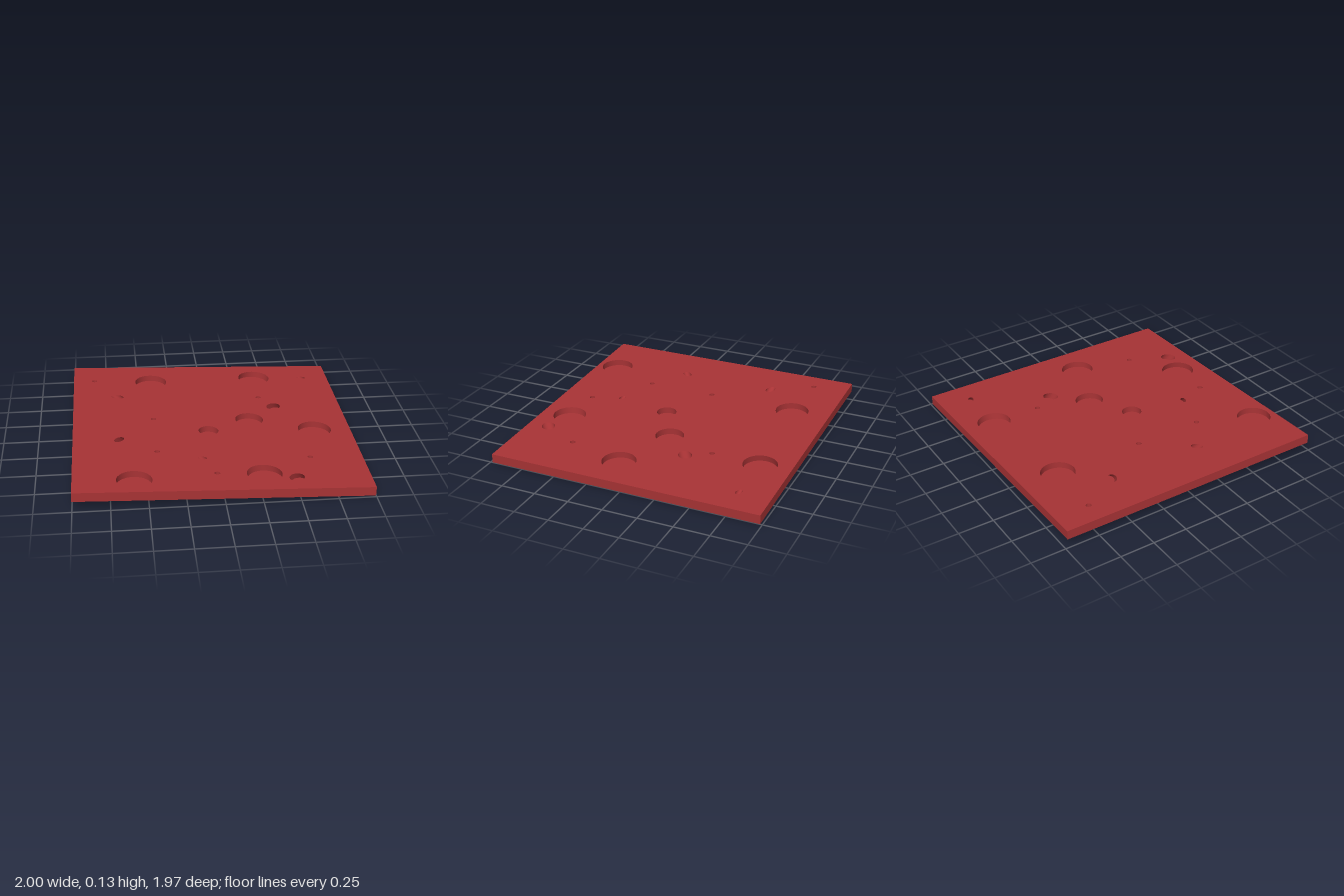
import * as THREE from 'three';

const WIDTH = 2, LENGTH = 1.97, THICK = 0.064, DEPTH = 0.045, TILT = 0.0345;

// Holes: x, z, radius along, radius across, turn, floor shift x, floor shift z
const round = (r, list) => list.map(([x, z, sx = 0, sz = 0]) => [x, z, r, r, 0, sx, sz]);
const HOLES = [
  ...round(0.12, [[-0.405, -0.705], [0.413, -0.763, -0.008], [0.738, 0.137], [0.283, 0.775, 0.008], [-0.59, 0.828]]),
  ...round(0.102, [[0.283, -0.033]]),
  ...round(0.071, [[-0.033, 0.137]]),
  ...round(0.019, [[-0.84, -0.73], [0.402, -0.407], [-0.418, -0.06], [-0.418, 0.44], [-0.033, 0.757], [0.633, 0.555]]),
  // slanted holes
  [0.493, -0.245, 0.056, 0.047, 0.7, 0.02, -0.02],
  [0.493, 0.833, 0.056, 0.047, 0.7, 0.02, -0.02],
  [-0.67, -0.44, 0.046, 0.03, -0.3, 0.05, 0.012],
  [-0.675, 0.255, 0.042, 0.028, 0.85, 0.025, -0.028],
  [0.793, -0.76, 0.032, 0.019, -0.3, 0.045, 0.014],
  [-0.115, 0.543, 0.032, 0.019, -0.3, 0.045, 0.014],
];

export function createModel() {
  const red = new THREE.MeshStandardMaterial({ color: 0xa83335, side: THREE.DoubleSide });
  red.name = 'brick red';
  const model = new THREE.Group();
  model.name = 'slopedBoard';
  const board = new THREE.Group();
  board.name = 'board';
  model.add(board);

  const add = (name, geometry, parent = board, material = red) => {
    const mesh = new THREE.Mesh(geometry, material);
    mesh.name = name;
    parent.add(mesh);
    return mesh;
  };

  // Sides and underside: a box without its top face
  const box = new THREE.BoxGeometry(WIDTH, THICK, LENGTH);
  box.groups = box.groups.filter((g) => g.materialIndex !== 2);
  add('boardBody', box, board, Array(6).fill(red));

  // Top face, pierced by the hole rims
  const w = WIDTH / 2, l = LENGTH / 2;
  const top = new THREE.Shape([[-w, -l], [w, -l], [w, l], [-w, l]].map(([x, y]) => new THREE.Vector2(x, y)));
  for (const [x, z, rx, rz, turn] of HOLES) {
    const rim = new THREE.Path();
    rim.absellipse(x, -z, rx, rz, 0, Math.PI * 2, true, turn);
    top.holes.push(rim);
  }
  add('topFace', new THREE.ShapeGeometry(top, 16).rotateX(-Math.PI / 2).translate(0, THICK / 2, 0));

  // Blind holes: sheared cylinder wall and flat floor
  HOLES.forEach(([x, z, rx, rz, turn, sx, sz], i) => {
    const hole = new THREE.Group();
    hole.name = `hole${i + 1}`;
    hole.position.set(x, THICK / 2, z);
    board.add(hole);
    const shear = new THREE.Matrix4().set(
      1, -sx / DEPTH, 0, 0,
      0, 1, 0, 0,
      0, -sz / DEPTH, 1, 0,
      0, 0, 0, 1);
    const wall = new THREE.CylinderGeometry(1, 1, 1, 32, 1, true)
      .translate(0, -0.5, 0).scale(rx, DEPTH, rz).rotateY(turn).applyMatrix4(shear);
    // turn the wall inward so it faces the hollow
    const index = wall.index.array;
    for (let k = 0; k < index.length; k += 3) [index[k], index[k + 1]] = [index[k + 1], index[k]];
    wall.computeVertexNormals();
    add('holeWall', wall, hole);
    add('holeFloor', new THREE.CircleGeometry(1, 32).rotateX(-Math.PI / 2)
      .scale(rx, 1, rz).rotateY(turn).translate(sx, -DEPTH, sz), hole);
  });

  // Slope down toward +x and rest on the ground
  board.rotation.z = -TILT;
  board.position.y = (WIDTH * Math.sin(TILT) + THICK * Math.cos(TILT)) / 2;
  return model;
}
